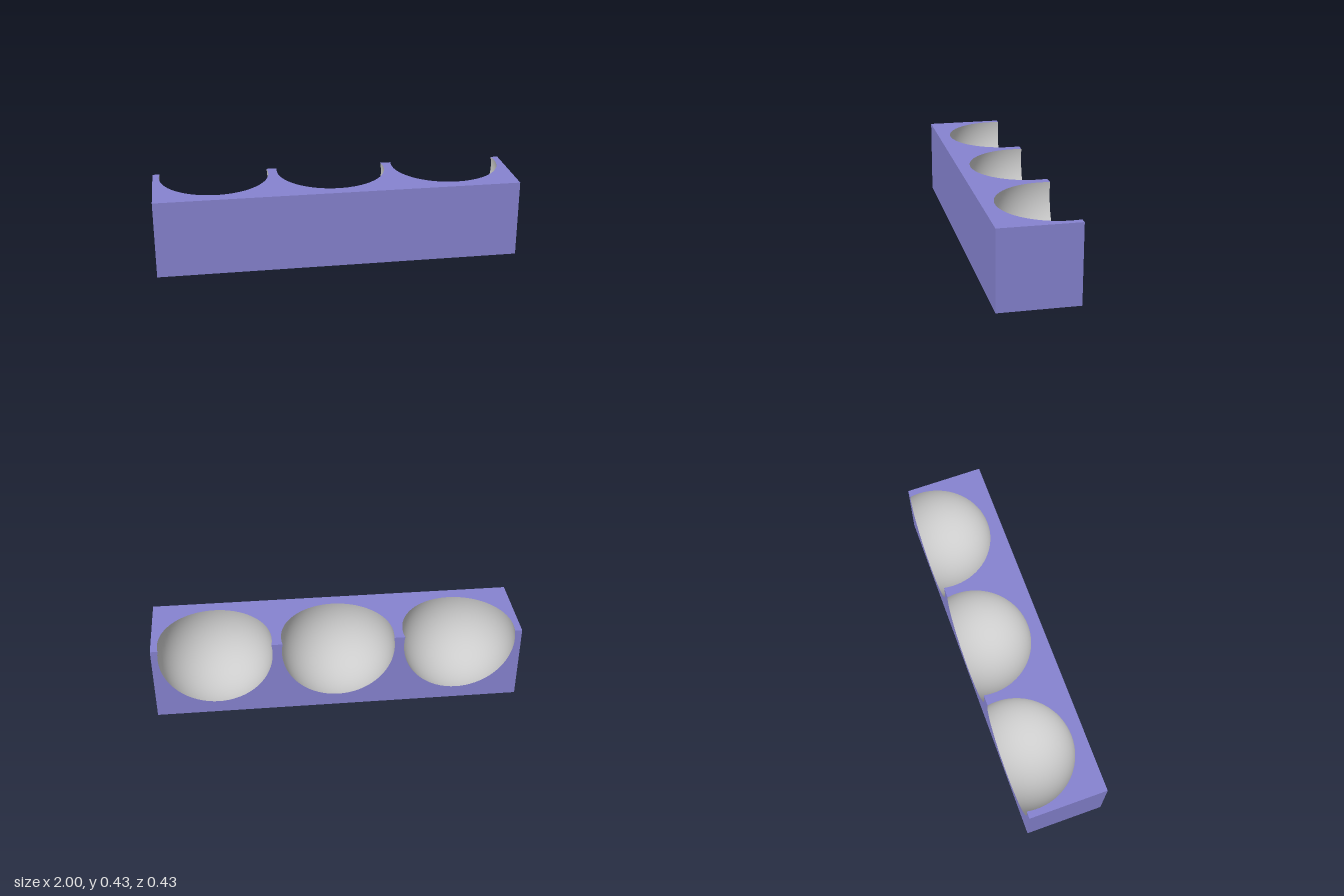
import * as THREE from 'three';

const LEN = 2, SIZE = 0.43, HALF = SIZE / 2;
const CENTRES = [-0.66, 0, 0.66];   // hollows along x
const OFFSET = 0.055;               // sphere centre below the top and inside the back
const RADIUS = 0.31;
const ARC = 40, SWEEP = 20;

// Point on the sphere, seen from the top back edge (edge point at the origin)
function hollowPoint(theta, phi) {
  const dir = new THREE.Vector3(-Math.cos(phi), -Math.sin(phi) * Math.sin(theta), Math.sin(phi) * Math.cos(theta));
  const along = dir.dot(new THREE.Vector3(0, -OFFSET, OFFSET));
  const t = along + Math.sqrt(along * along - 2 * OFFSET * OFFSET + RADIUS * RADIUS);
  return dir.multiplyScalar(t);
}

// Part of a sphere between the top and back planes, facing inwards
function hollowGeometry() {
  const pos = [], nor = [], idx = [];
  for (let i = 0; i <= SWEEP; i++) {
    for (let j = 0; j <= ARC; j++) {
      const p = hollowPoint((i / SWEEP) * Math.PI / 2, (j / ARC) * Math.PI);
      pos.push(p.x, p.y, p.z);
      nor.push(-p.x / RADIUS, (-OFFSET - p.y) / RADIUS, (OFFSET - p.z) / RADIUS);
      if (i < SWEEP && j < ARC) {
        const a = i * (ARC + 1) + j, b = a + ARC + 1;
        idx.push(a, a + 1, b, a + 1, b + 1, b);
      }
    }
  }
  const g = new THREE.BufferGeometry();
  g.setAttribute('position', new THREE.Float32BufferAttribute(pos, 3));
  g.setAttribute('normal', new THREE.Float32BufferAttribute(nor, 3));
  g.setIndex(idx);
  return g;
}

// Rectangle with three round notches along its upper edge
function notchedPanel() {
  const pts = [new THREE.Vector2(-LEN / 2, 0)];
  for (const cx of CENTRES) {
    for (let j = 0; j <= ARC; j++) {
      const p = hollowPoint(0, (j / ARC) * Math.PI);
      pts.push(new THREE.Vector2(cx + p.x, -p.z));
    }
  }
  pts.push(new THREE.Vector2(LEN / 2, 0), new THREE.Vector2(LEN / 2, -SIZE), new THREE.Vector2(-LEN / 2, -SIZE));
  return new THREE.ShapeGeometry(new THREE.Shape(pts));
}

export function createModel() {
  const group = new THREE.Group();
  const purple = new THREE.MeshStandardMaterial({ color: 0x8683d0 });
  const grey = new THREE.MeshStandardMaterial({ color: 0xcccccc });
  const add = (name, geometry, material, x, y, z) => {
    const mesh = new THREE.Mesh(geometry, material);
    mesh.name = name;
    mesh.position.set(x, y, z);
    group.add(mesh);
  };

  // Notched faces
  add('topFace', notchedPanel().rotateX(-Math.PI / 2), purple, 0, SIZE, -HALF);
  add('backFace', notchedPanel().rotateY(Math.PI), purple, 0, SIZE, -HALF);

  // Plain faces
  add('frontFace', new THREE.PlaneGeometry(LEN, SIZE), purple, 0, HALF, HALF);
  add('bottomFace', new THREE.PlaneGeometry(LEN, SIZE).rotateX(Math.PI / 2), purple, 0, 0, 0);
  for (const [name, s] of [['leftEnd', 1], ['rightEnd', -1]]) {
    add(name, new THREE.PlaneGeometry(SIZE, SIZE).rotateY(s * Math.PI / 2), purple, s * LEN / 2, HALF, 0);
  }

  // Round hollows
  const hollow = hollowGeometry();
  CENTRES.forEach((cx, i) => add(`hollow${i + 1}`, hollow, grey, cx, SIZE, -HALF));
  return group;
}
